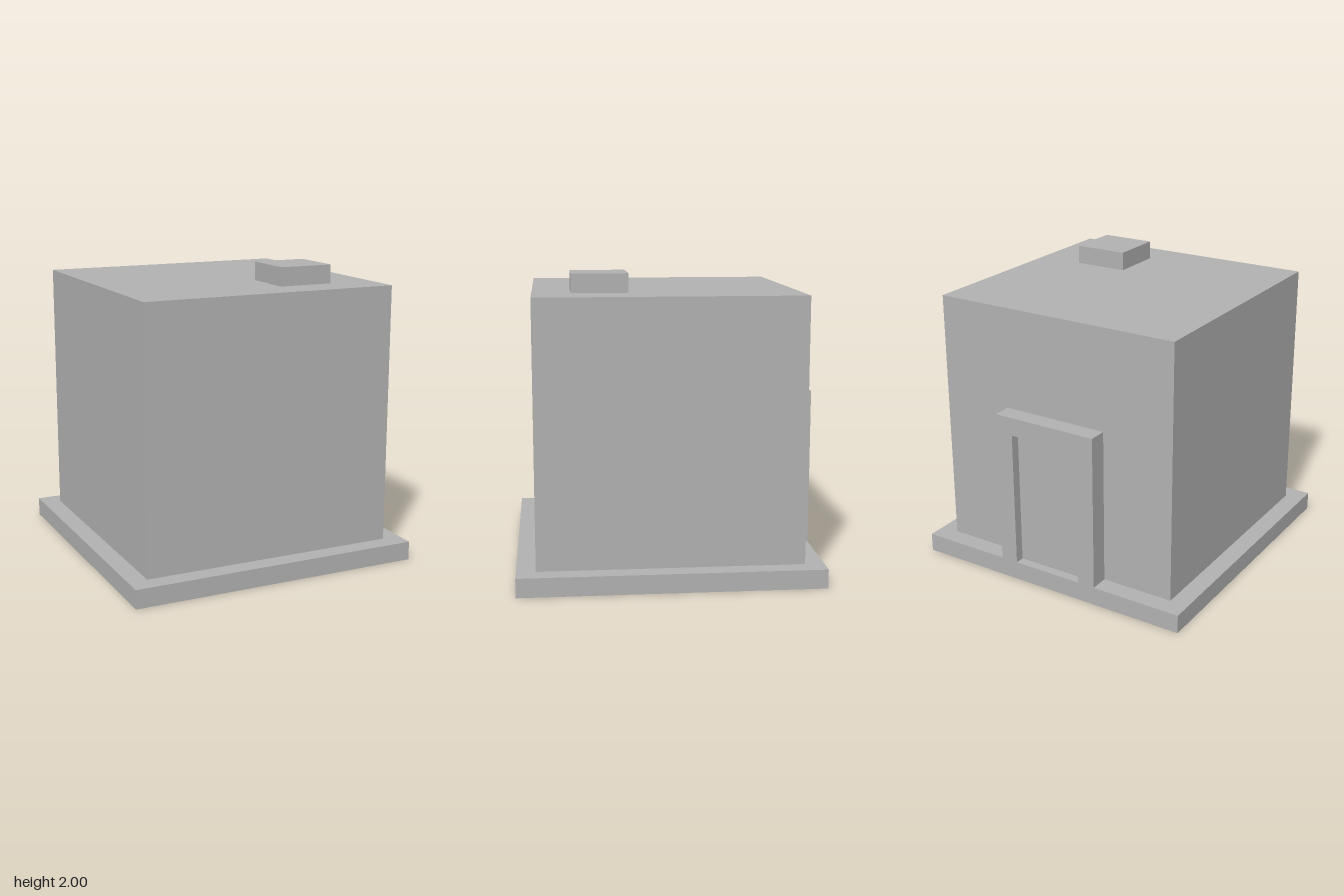
import * as THREE from 'three';

export function createModel() {
  const model = new THREE.Group();
  const grey = new THREE.MeshStandardMaterial({ color: 0xb2b2b2 });
  grey.name = 'plain grey';

  const add = (name, geometry, x, y, z) => {
    const mesh = new THREE.Mesh(geometry, grey);
    mesh.name = name;
    mesh.position.set(x, y, z);
    model.add(mesh);
  };
  // Box standing on height y
  const block = (name, w, h, d, x, y, z) =>
    add(name, new THREE.BoxGeometry(w, h, d), x, y + h / 2, z);

  const floor = 0.127;   // top of the base slab
  const wall = 0.873;    // half width of the house
  const roof = 1.875;

  block('base', 2, floor, 2, 0, 0, 0);
  block('house', wall * 2, roof - floor, wall * 2, 0, floor, 0);
  block('chimney', 0.37, 2 - roof, 0.37, 0.372, roof, 0.436);

  // Door surround on the back: an upside-down U, open at the floor
  const outer = 0.372, inner = 0.25, top = 1.187 - floor, innerTop = top - 0.124;
  const surround = new THREE.Shape([
    [-outer, 0], [-inner, 0], [-inner, innerTop], [inner, innerTop],
    [inner, 0], [outer, 0], [outer, top], [-outer, top],
  ].map(([x, y]) => new THREE.Vector2(x, y)));
  add('doorSurround',
    new THREE.ExtrudeGeometry(surround, { depth: 1 - wall, bevelEnabled: false }),
    0, floor, -1);

  // Door set halfway into the surround
  const doorDepth = (1 - wall) / 2;
  block('door', inner * 2, innerTop, doorDepth, 0, floor, -wall - doorDepth / 2);

  return model;
}
